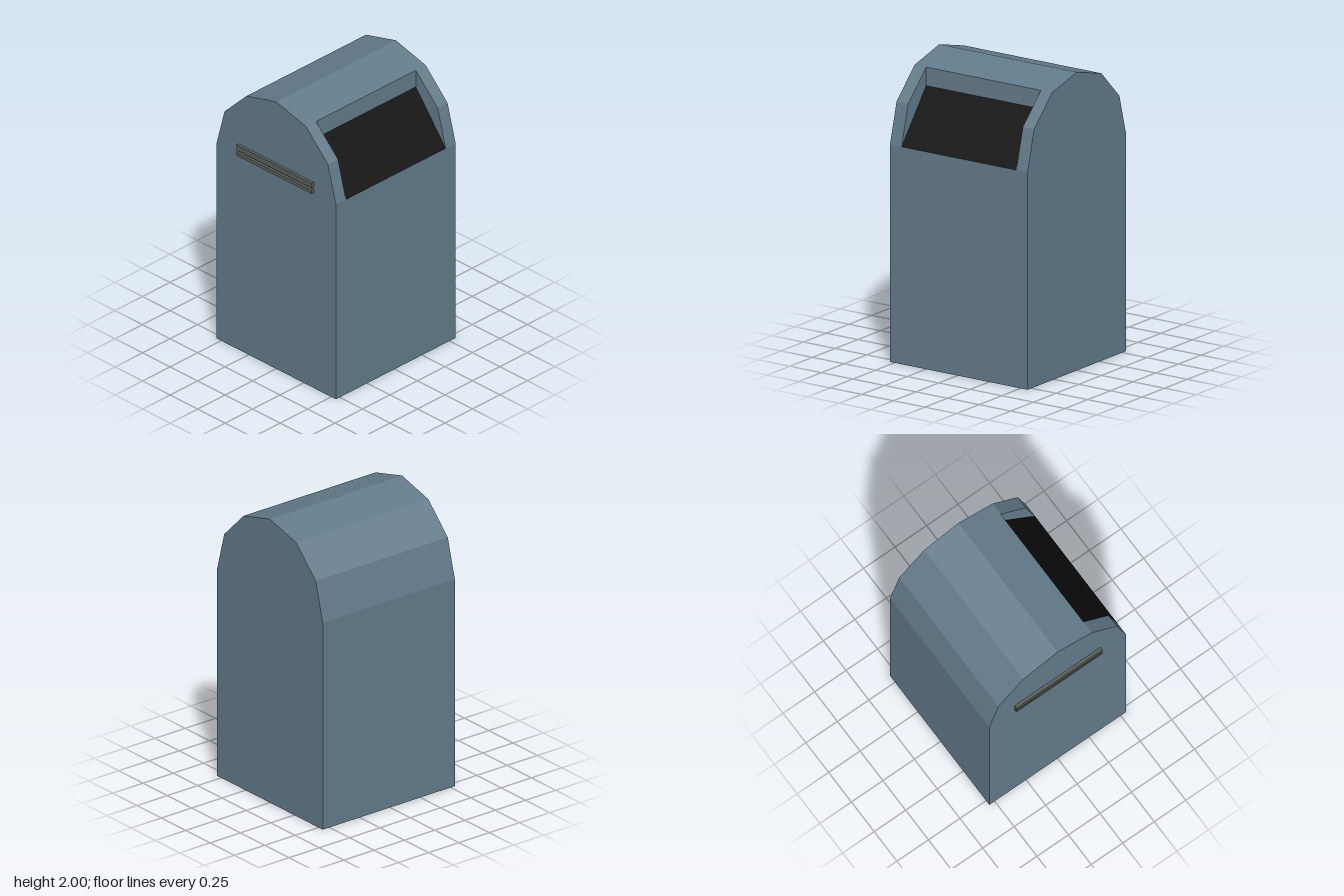
import * as THREE from 'three';

const material = (name, color, side = THREE.FrontSide) => {
  const m = new THREE.MeshStandardMaterial({ color, side });
  m.name = name;
  return m;
};

// Sweeps a profile of [x, y] points along z into flat, faceted panels.
function sweep(profile, zBack, zFront) {
  const v = [];
  for (let i = 0; i < profile.length - 1; i++) {
    const [ax, ay] = profile[i], [bx, by] = profile[i + 1];
    v.push(ax, ay, zFront, bx, by, zFront, bx, by, zBack);
    v.push(ax, ay, zFront, bx, by, zBack, ax, ay, zBack);
  }
  const g = new THREE.BufferGeometry();
  g.setAttribute('position', new THREE.Float32BufferAttribute(v, 3));
  g.computeVertexNormals();
  return g;
}

const flat = (points) =>
  new THREE.ShapeGeometry(new THREE.Shape(points.map(([x, y]) => new THREE.Vector2(x, y))));

export function createModel() {
  const model = new THREE.Group();
  const blue = material('blue grey paint', 0x637b8b, THREE.DoubleSide);
  const black = material('black', 0x0d0d0d, THREE.DoubleSide);
  const metal = material('dark grey metal', 0x5a605a);

  const add = (name, geometry, mat, x = 0, y = 0, z = 0) => {
    const mesh = new THREE.Mesh(geometry, mat);
    mesh.name = name;
    mesh.position.set(x, y, z);
    model.add(mesh);
  };

  const R = 0.5425, spring = 1.4575;
  const zBack = -0.555, zFront = 0.535;
  const recessBack = -0.465, recessFront = 0.443;

  // Outline: left wall, six-sided arch, right wall
  const arch = [];
  for (let i = 0; i <= 6; i++) {
    const a = Math.PI * (1 - i / 6);
    arch.push([R * Math.cos(a), spring + R * Math.sin(a)]);
  }
  const outline = [[-R, 0], ...arch, [R, 0]];

  // Hollow shell, open underneath
  add('frontPanel', flat(outline), blue, 0, 0, zFront);
  add('backPanel', flat(outline), blue, 0, 0, zBack);
  add('leftWallAndRoof', sweep(outline.slice(0, 6), zBack, zFront), blue);
  add('rightWall', sweep(outline.slice(7), zBack, zFront), blue);

  // Roof margins on both sides of the recess
  const haunch = arch.slice(4);
  add('recessMarginFront', sweep(haunch, recessFront, zFront), blue);
  add('recessMarginBack', sweep(haunch, zBack, recessBack), blue);

  // Recess with its sloping black flap
  const inner = [haunch[0][0], 1.803];
  add('recessTopWall', sweep([haunch[0], inner], recessBack, recessFront), blue);
  add('flap', sweep([inner, haunch[2]], recessBack, recessFront), black);
  for (const [name, z] of [['recessCheekFront', recessFront], ['recessCheekBack', recessBack]])
    add(name, flat([...haunch, inner]), blue, 0, 0, z);

  // Bars on the front
  add('upperBar', new THREE.BoxGeometry(0.684, 0.038, 0.02), metal, 0, 1.522, 0.545);
  add('lowerBar', new THREE.BoxGeometry(0.684, 0.025, 0.02), metal, 0, 1.474, 0.545);

  // Posts inside the shell
  for (const side of [-1, 1])
    add(side > 0 ? 'leftPost' : 'rightPost', new THREE.BoxGeometry(0.13, 0.9, 0.13), metal, side * 0.283, 0.45, -0.008);

  return model;
}
